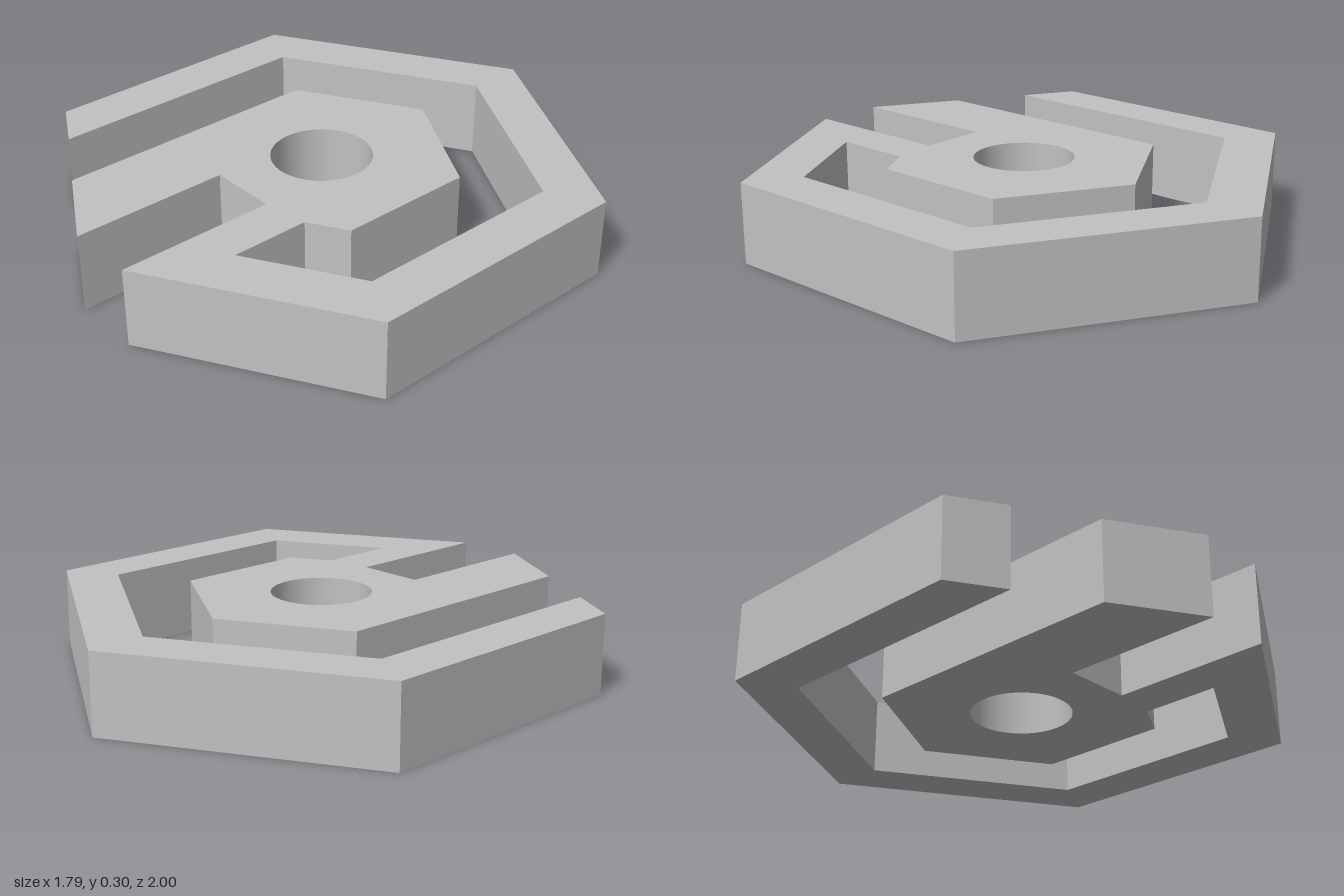
import * as THREE from 'three';

const HEIGHT = 0.3;
const BORE = { x: 0, z: 0.035, r: 0.187 };

// Plan outline as [x, z], a hexagonal hook wrapped around a bored hub
const OUTLINE = [
  // outer hexagon, from the front slot round to the open end
  [0.13, 1], [0.896, 0.555], [0.896, -0.483], [0, -1], [-0.896, -0.483], [-0.896, 0.555],
  [-0.706, 0.664],
  // inner edge of the hexagonal ring
  [-0.706, -0.374], [0, -0.782], [0.706, -0.374], [0.706, 0.444], [0.304, 0.676],
  // hub and its leg
  [0.304, 0.378], [0.447, 0.296], [0.447, -0.225], [0, -0.483], [-0.447, -0.225],
  [-0.447, 0.816], [-0.13, 1],
  // front slot
  [-0.13, 0.403], [0.13, 0.403],
];

function plateGeometry() {
  const shape = new THREE.Shape(OUTLINE.map(([x, z]) => new THREE.Vector2(x, -z)));
  shape.holes.push(new THREE.Path().absarc(BORE.x, -BORE.z, BORE.r, 0, Math.PI * 2, true));
  const geometry = new THREE.ExtrudeGeometry(shape, {
    depth: HEIGHT, bevelEnabled: false, curveSegments: 32,
  });
  geometry.rotateX(-Math.PI / 2);

  // Round the shading of the bore wall: its normals point to the axis
  const p = geometry.attributes.position;
  const n = geometry.attributes.normal;
  for (let i = 0; i < p.count; i++) {
    const dx = p.getX(i) - BORE.x;
    const dz = p.getZ(i) - BORE.z;
    const d = Math.hypot(dx, dz);
    if (Math.abs(n.getY(i)) < 0.5 && d < BORE.r + 0.01) n.setXYZ(i, -dx / d, 0, -dz / d);
  }
  return geometry;
}

export function createModel() {
  const grey = new THREE.MeshStandardMaterial({ color: 0xc2c2c2 });
  grey.name = 'light grey';

  const plate = new THREE.Mesh(plateGeometry(), grey);
  plate.name = 'hexagonalHookPlate';

  const model = new THREE.Group();
  model.name = 'hexagonalEmblem';
  model.add(plate);
  return model;
}
